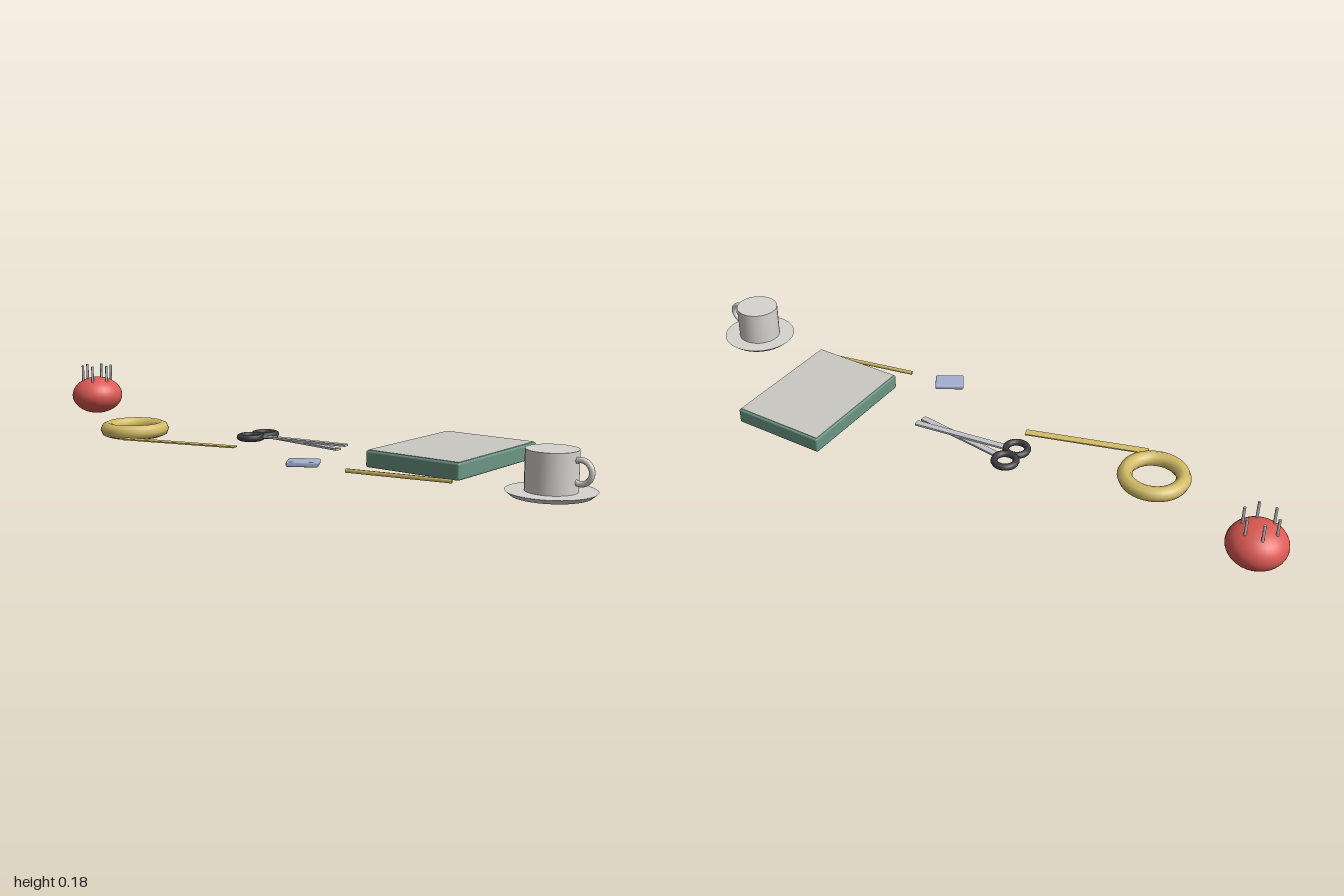
import * as THREE from 'three';
import { RoundedBoxGeometry } from 'three/addons/geometries/RoundedBoxGeometry.js';

export function createModel() {
  const root = new THREE.Group();
  root.name = 'deskItems';

  const mat = (name, color) => {
    const m = new THREE.MeshStandardMaterial({ color });
    m.name = name;
    return m;
  };
  const red = mat('cushion red', 0xdc5a54);
  const green = mat('cover green', 0x6b9685);
  const yellow = mat('tape yellow', 0xd4bd68);
  const white = mat('porcelain white', 0xd6d4cf);
  const paper = mat('paper grey', 0xcac8c3);
  const steel = mat('steel', 0xc2c3c6);
  const black = mat('handle black', 0x3c3c40);
  const blue = mat('eraser blue', 0xa4b0d0);

  const group = (name, x, z, turn = 0) => {
    const g = new THREE.Group();
    g.name = name;
    g.position.set(x, 0, z);
    g.rotation.y = turn;
    root.add(g);
    return g;
  };
  const add = (parent, name, geometry, material, x = 0, y = 0, z = 0) => {
    const mesh = new THREE.Mesh(geometry, material);
    mesh.name = name;
    mesh.position.set(x, y, z);
    parent.add(mesh);
    return mesh;
  };
  // Torus lying flat
  const ring = (r, tube, sides, steps) =>
    new THREE.TorusGeometry(r, tube, sides, steps).rotateX(-Math.PI / 2);

  // Pincushion with a ring of six pins
  const cushion = group('pincushion', -0.917, -0.052);
  add(cushion, 'cushion', new THREE.SphereGeometry(0.083, 28, 18).scale(1, 0.73, 1), red, 0, 0.076);
  for (let i = 0; i < 6; i++) {
    const a = (i * Math.PI) / 3;
    add(cushion, 'pin', new THREE.CylinderGeometry(0.004, 0.004, 0.08, 8), steel,
      Math.cos(a) * 0.047, 0.136, Math.sin(a) * 0.047);
  }

  // Tape roll and loose strip
  const tape = group('tapeRoll', -0.546, 0.13);
  add(tape, 'tapeRing', ring(0.083, 0.022, 8, 36), yellow, 0, 0.0225);
  const strip = group('tapeStrip', -0.303, 0.185, 0.3);
  add(strip, 'strip', new THREE.BoxGeometry(0.365, 0.004, 0.025), yellow, 0, 0.012);

  // Scissors: two crossed blades and two finger rings
  const scissors = group('scissors', 0, -0.002);
  for (const s of [-1, 1]) {
    const blade = add(scissors, 'blade', new THREE.BoxGeometry(0.285, 0.006, 0.02), steel,
      0.018, 0.025 + s * 0.0031, 0);
    blade.rotation.y = s * 0.13;
    add(scissors, 'fingerRing', ring(0.032, 0.01, 8, 24), black, -0.156, 0.025, s * 0.033);
  }

  // Eraser
  const eraser = group('eraser', 0.2, 0.225, 0.55);
  add(eraser, 'eraserBlock', new RoundedBoxGeometry(0.087, 0.014, 0.062, 2, 0.004), blue, 0, 0.02);

  // Notebook with a pale top sheet
  const book = group('notebook', 0.479, -0.075);
  add(book, 'cover', new RoundedBoxGeometry(0.292, 0.046, 0.402, 3, 0.006), green, 0, 0.032);
  add(book, 'topSheet', new THREE.BoxGeometry(0.282, 0.004, 0.39), paper, 0, 0.0545);

  // Pencil
  const pencil = group('pencil', 0.479, 0.185, 0.2);
  add(pencil, 'pencilBody', new THREE.CylinderGeometry(0.006, 0.006, 0.295, 6).rotateZ(Math.PI / 2),
    yellow, 0, 0.014);

  // Cup, handle and saucer
  const cup = group('cupAndSaucer', 0.888, 0.134);
  add(cup, 'saucer', new THREE.CylinderGeometry(0.112, 0.098, 0.012, 36), white, 0, 0.017);
  add(cup, 'cupBody', new THREE.CylinderGeometry(0.065, 0.065, 0.103, 36), white, 0, 0.0735);
  add(cup, 'cupHandle', new THREE.TorusGeometry(0.029, 0.0075, 10, 28), white, 0.075, 0.077);

  return root;
}
